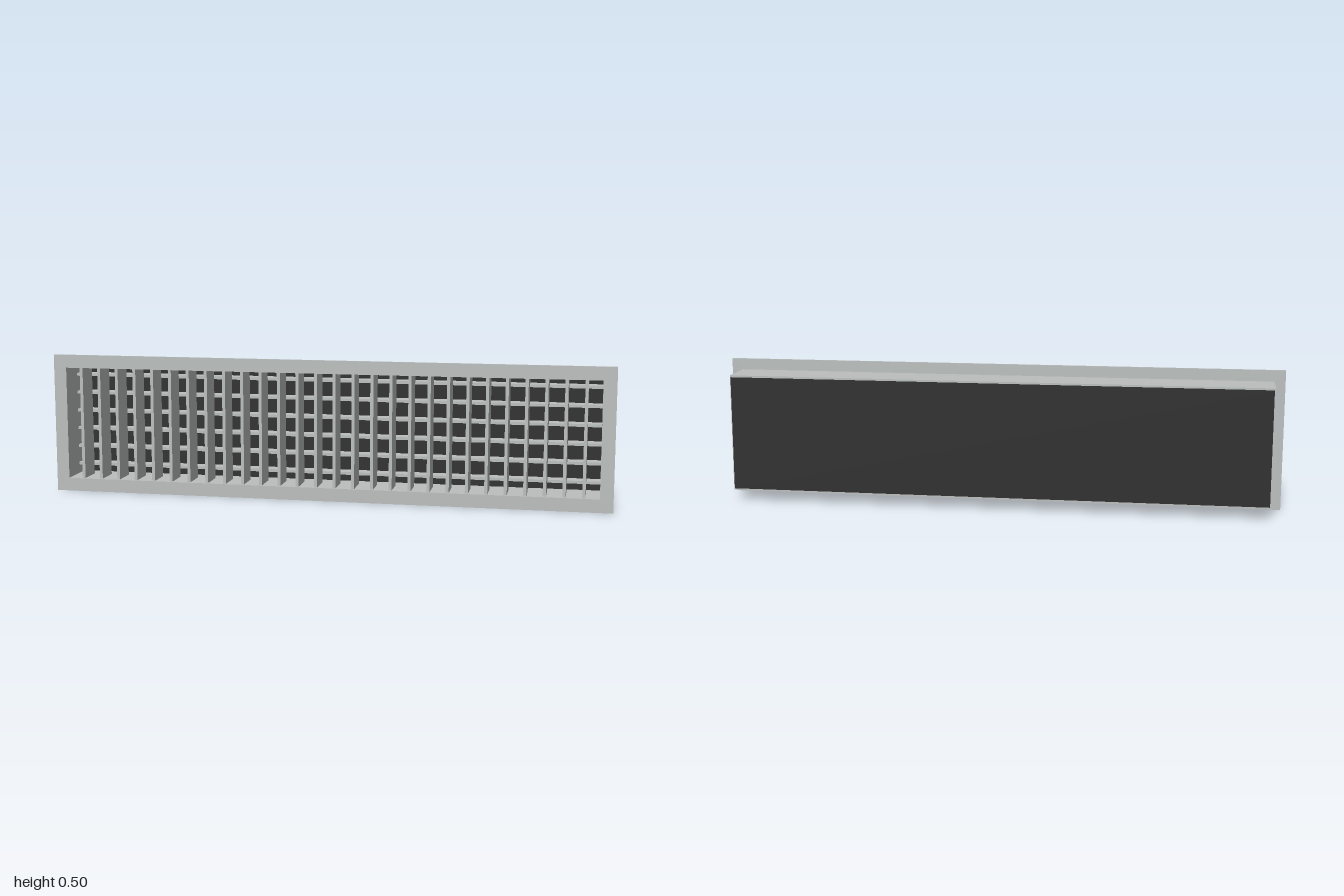
import * as THREE from 'three';

const rect = (Path, w, h) => {
  const p = new Path();
  p.moveTo(-w / 2, -h / 2);
  p.lineTo(w / 2, -h / 2);
  p.lineTo(w / 2, h / 2);
  p.lineTo(-w / 2, h / 2);
  p.closePath();
  return p;
};

export function createModel() {
  const grille = new THREE.Group();
  grille.name = 'ventGrille';

  const metal = new THREE.MeshStandardMaterial({ color: 0xbbbfbe });
  metal.name = 'light grey metal';
  const dark = new THREE.MeshStandardMaterial({ color: 0x2c2c2c });
  dark.name = 'dark backing';

  const midY = 0.25, innerW = 1.908, innerH = 0.406, pitch = 0.0667;

  const add = (name, geometry, material, x, y, z, parent = grille) => {
    const mesh = new THREE.Mesh(geometry, material);
    mesh.name = name;
    mesh.position.set(x, y, z);
    parent.add(mesh);
  };

  // Rectangular ring around the shared opening, extruded along z
  const ring = (w, h, depth) => {
    const shape = rect(THREE.Shape, w, h);
    shape.holes.push(rect(THREE.Path, innerW, innerH));
    return new THREE.ExtrudeGeometry(shape, { depth, bevelEnabled: false });
  };

  // Front flange and the duct collar behind it
  add('frontFrame', ring(2, 0.5, 0.008), metal, 0, midY, 0.072);
  add('collar', ring(1.922, 0.42, 0.144), metal, 0, midY, -0.072);

  // Deep vertical slats
  const slats = new THREE.Group();
  slats.name = 'verticalSlats';
  grille.add(slats);
  const slat = new THREE.BoxGeometry(0.011, innerH, 0.092);
  for (let i = 0; i < 28; i++) add('verticalSlat', slat, metal, (i - 13.5) * pitch, midY, 0.025, slats);

  // Horizontal slats behind them
  const bars = new THREE.Group();
  bars.name = 'horizontalSlats';
  grille.add(bars);
  const bar = new THREE.BoxGeometry(innerW, 0.01, 0.048);
  for (let i = 0; i < 6; i++) add('horizontalSlat', bar, metal, 0, midY + (i - 2.5) * pitch, -0.046, bars);

  // Thin dark panel floating just behind the collar
  add('backPanel', new THREE.BoxGeometry(1.912, 0.408, 0.003), dark, 0, midY, -0.0785);

  return grille;
}
